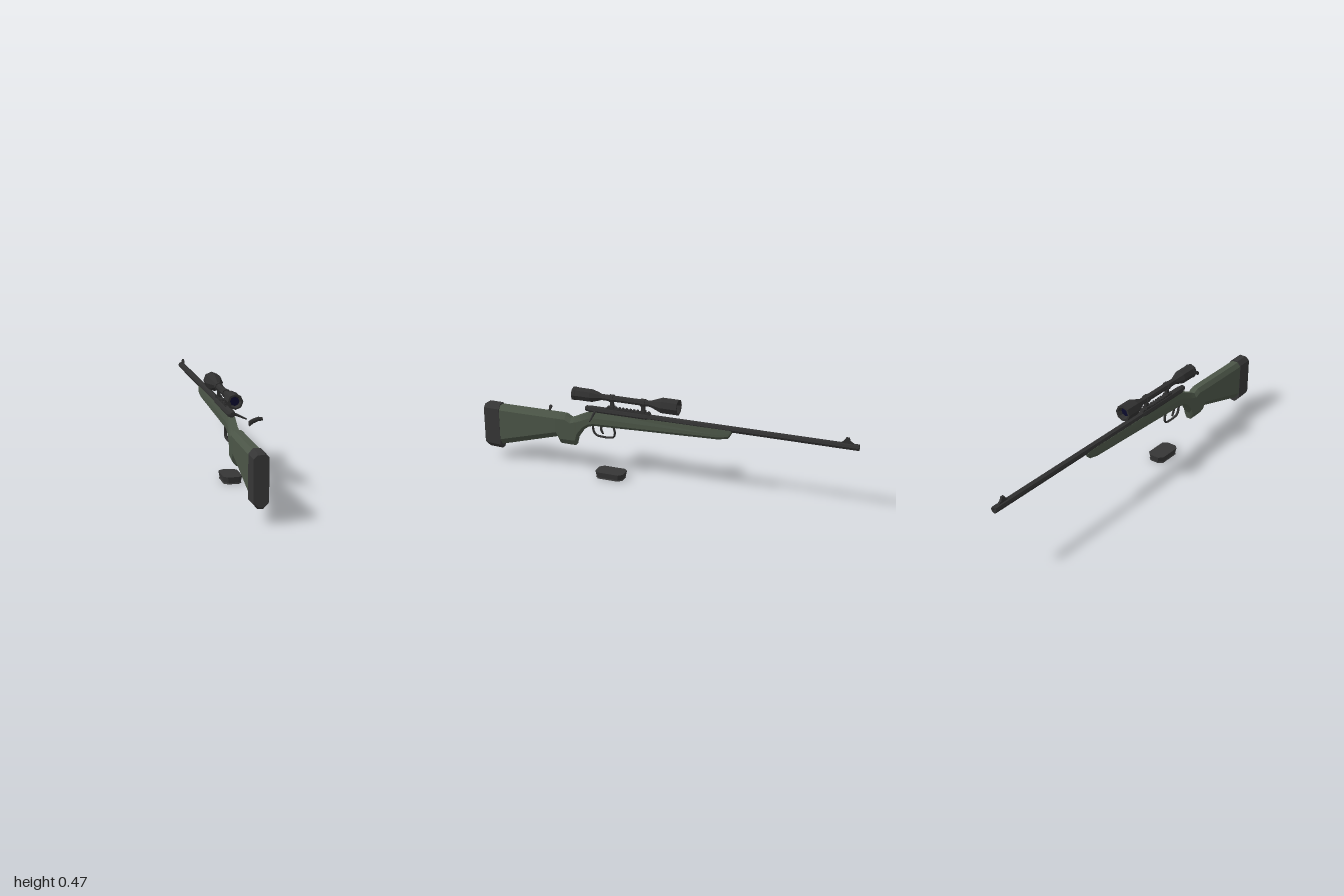
import * as THREE from 'three';

const V = (x, y, z) => new THREE.Vector3(x, y, z);
const CX = -0.0325; // centre line of the rifle
const BORE = 0.353; // height of the barrel axis
const SCOPE = 0.428; // height of the scope axis

function material(name, color) {
  const m = new THREE.MeshStandardMaterial({ color, flatShading: true });
  m.name = name;
  return m;
}

// Skin a list of equal-sized rings, each counter-clockwise seen from the first end
function loft(rings) {
  const pos = [];
  const tri = (...pts) => pts.forEach(p => pos.push(p.x, p.y, p.z));
  const n = rings[0].length;
  for (let i = 0; i < rings.length - 1; i++) {
    for (let j = 0; j < n; j++) {
      const k = (j + 1) % n, A = rings[i], B = rings[i + 1];
      tri(A[j], B[j], A[k]);
      tri(A[k], B[j], B[k]);
    }
  }
  const first = rings[0], last = rings[rings.length - 1];
  for (let j = 1; j < n - 1; j++) {
    tri(first[0], first[j], first[j + 1]);
    tri(last[0], last[j + 1], last[j]);
  }
  const g = new THREE.BufferGeometry();
  g.setAttribute('position', new THREE.Float32BufferAttribute(pos, 3));
  g.computeVertexNormals();
  return g;
}

// Eight-sided stock section: narrow flat top and bottom, full width between
const section = ([z, top, bot, w, tw, ct, bw, cb]) => [
  [bw, bot], [w, bot + cb], [w, top - ct], [tw, top],
  [-tw, top], [-w, top - ct], [-w, bot + cb], [-bw, bot],
].map(([x, y]) => V(CX + x, y, z));

// Turned part along z from [radius, z] points, z rising
const turned = (points, sides = 8) =>
  new THREE.LatheGeometry(points.map(([r, z]) => new THREE.Vector2(r, z)), sides).rotateX(Math.PI / 2);

// Plate cut from a side outline of [z, y] points, thickness t across x
function plate(points, t) {
  const shape = new THREE.Shape(points.map(([z, y]) => new THREE.Vector2(z, y)));
  return new THREE.ExtrudeGeometry(shape, { depth: t, bevelEnabled: false })
    .rotateY(-Math.PI / 2).translate(t / 2, 0, 0);
}

function rod(a, b, ra, rb, sides = 8) {
  const d = b.clone().sub(a);
  const g = new THREE.CylinderGeometry(rb, ra, d.length(), sides);
  g.applyQuaternion(new THREE.Quaternion().setFromUnitVectors(V(0, 1, 0), d.normalize()));
  const c = a.clone().add(b).multiplyScalar(0.5);
  return g.translate(c.x, c.y, c.z);
}

export function createModel() {
  const model = new THREE.Group();
  const green = material('stock green', 0x4b5547);
  const rubber = material('rubber grey', 0x363636);
  const steel = material('dark steel', 0x303030);
  const glass = material('navy glass', 0x0b0b2c);

  const add = (name, geometry, mat, x = 0, y = 0, z = 0) => {
    const mesh = new THREE.Mesh(geometry, mat);
    mesh.name = name;
    mesh.position.set(x, y, z);
    model.add(mesh);
    return mesh;
  };

  // Stock: butt, grip, wrist and fore-end
  add('stock', loft([
    [0.912, 0.307, 0.086, 0.035, 0.017, 0.022, 0.013, 0.034],
    [0.580, 0.308, 0.180, 0.034, 0.017, 0.022, 0.013, 0.030],
    [0.562, 0.308, 0.146, 0.033, 0.017, 0.022, 0.013, 0.030],
    [0.530, 0.307, 0.145, 0.031, 0.016, 0.022, 0.013, 0.030],
    [0.500, 0.291, 0.145, 0.029, 0.015, 0.022, 0.013, 0.030],
    [0.475, 0.302, 0.145, 0.027, 0.015, 0.025, 0.013, 0.030],
    [0.465, 0.307, 0.187, 0.026, 0.015, 0.028, 0.013, 0.025],
    [0.433, 0.322, 0.235, 0.024, 0.016, 0.030, 0.013, 0.018],
    [0.400, 0.338, 0.260, 0.023, 0.017, 0.032, 0.012, 0.015],
    [0.370, 0.347, 0.268, 0.023, 0.017, 0.034, 0.012, 0.014],
    [-0.300, 0.350, 0.293, 0.019, 0.017, 0.030, 0.010, 0.014],
    [-0.353, 0.350, 0.305, 0.018, 0.016, 0.020, 0.010, 0.012],
    [-0.370, 0.350, 0.335, 0.016, 0.015, 0.005, 0.010, 0.005],
  ].map(section)), green);

  add('buttPad', loft([
    [1.000, 0.305, 0.078, 0.034, 0.016, 0.018, 0.011, 0.020],
    [0.985, 0.314, 0.066, 0.0365, 0.017, 0.023, 0.012, 0.027],
    [0.910, 0.314, 0.063, 0.0365, 0.017, 0.023, 0.012, 0.027],
  ].map(section)), rubber);

  // Barrel with a hollow muzzle, receiver and bolt end
  add('barrel', turned([
    [0, -0.975], [0.009, -0.975], [0.009, -1], [0.017, -1], [0.017, 0.1],
  ]), steel, CX, BORE);
  add('receiver', turned([
    [0, 0.06], [0.017, 0.06], [0.0205, 0.08], [0.0205, 0.39], [0.016, 0.4], [0, 0.4],
  ]), steel, CX, BORE);
  add('boltEnd', turned([
    [0.012, 0.39], [0.016, 0.398], [0.016, 0.412], [0.011, 0.42], [0, 0.42],
  ]), steel, CX, BORE + 0.003);

  // Front sight
  add('frontSight', plate([
    [-0.985, 0.362], [-0.905, 0.362], [-0.922, 0.376], [-0.936, 0.396],
    [-0.950, 0.396], [-0.956, 0.379],
  ], 0.011), steel, CX);

  // Toothed scope rail
  add('rail', new THREE.BoxGeometry(0.022, 0.012, 0.24), steel, CX, 0.37, 0.183);
  for (let i = 0; i < 12; i++) {
    add('railTooth', new THREE.BoxGeometry(0.024, 0.007, 0.01), steel, CX, 0.378, 0.073 + i * 0.02);
  }

  // Scope body, lenses and mounts
  add('scope', turned([
    [0.024, -0.068], [0.032, -0.09], [0.042, -0.09], [0.042, -0.005], [0.034, 0.015],
    [0.017, 0.06], [0.017, 0.33], [0.024, 0.35], [0.035, 0.385], [0.035, 0.465],
    [0.037, 0.47], [0.037, 0.485], [0.029, 0.485], [0.022, 0.468],
  ]), steel, CX, SCOPE);
  add('frontLens', turned([[0, -0.068], [0.025, -0.068]]).scale(1, 1, 1), glass, CX, SCOPE);
  add('rearLens', turned([[0.023, 0.468], [0, 0.468]]), glass, CX, SCOPE);
  for (const z of [0.1, 0.272]) {
    add('scopeRing', turned([
      [0.016, -0.011], [0.0215, -0.011], [0.0215, 0.011], [0.016, 0.011],
    ]), steel, CX, SCOPE, z);
    add('scopePost', new THREE.BoxGeometry(0.015, 0.042, 0.018), steel, CX, 0.395, z);
    add('scopeFoot', new THREE.BoxGeometry(0.026, 0.012, 0.024), steel, CX, 0.38, z);
  }

  // Trigger and guard
  const guardPath = new THREE.CatmullRomCurve3([
    [0.382, 0.275], [0.378, 0.235], [0.364, 0.215], [0.335, 0.210],
    [0.290, 0.210], [0.266, 0.217], [0.259, 0.238], [0.268, 0.28],
  ].map(([z, y]) => V(0, y, z)));
  add('triggerGuard', new THREE.TubeGeometry(guardPath, 24, 0.005, 6).scale(1.5, 1, 1), steel, CX);
  add('trigger', plate([
    [0.326, 0.275], [0.332, 0.25], [0.322, 0.226], [0.328, 0.226], [0.341, 0.248], [0.341, 0.275],
  ], 0.009), steel, CX);

  // Bolt lever on the left of the receiver
  add('boltLever', rod(V(-0.02, 0.350, 0.362), V(0.049, 0.318, 0.362), 0.008, 0.0035, 6), steel);

  // Separate curved handle beside the butt
  add('looseHandle', loft([
    [0.074, 0.364, 0.572, 0.008], [0.053, 0.3655, 0.577, 0.0095],
    [0.027, 0.360, 0.589, 0.011], [0.004, 0.351, 0.603, 0.0125],
  ].map(([x, y, z, r]) => Array.from({ length: 8 }, (_, i) => {
    const a = i * Math.PI / 4;
    return V(x, y + r * Math.cos(a), z + 0.75 * r * Math.sin(a) - 0.3 * r * Math.cos(a));
  }))), steel);

  // Detached magazine: chamfered block with a flared foot
  add('magazine', loft([
    [0.035, 0.047, 0.078], [0.006, 0.0415, 0.073], [0, 0.045, 0.075],
  ].map(([y, w, d]) => {
    const c = 0.02;
    return [
      [w, d - c], [w, c - d], [w - c, -d], [c - w, -d],
      [-w, c - d], [-w, d - c], [c - w, d], [w - c, d],
    ].map(([x, z]) => V(-0.0125 + x, y, 0.275 + z));
  })), rubber);

  return model;
}
